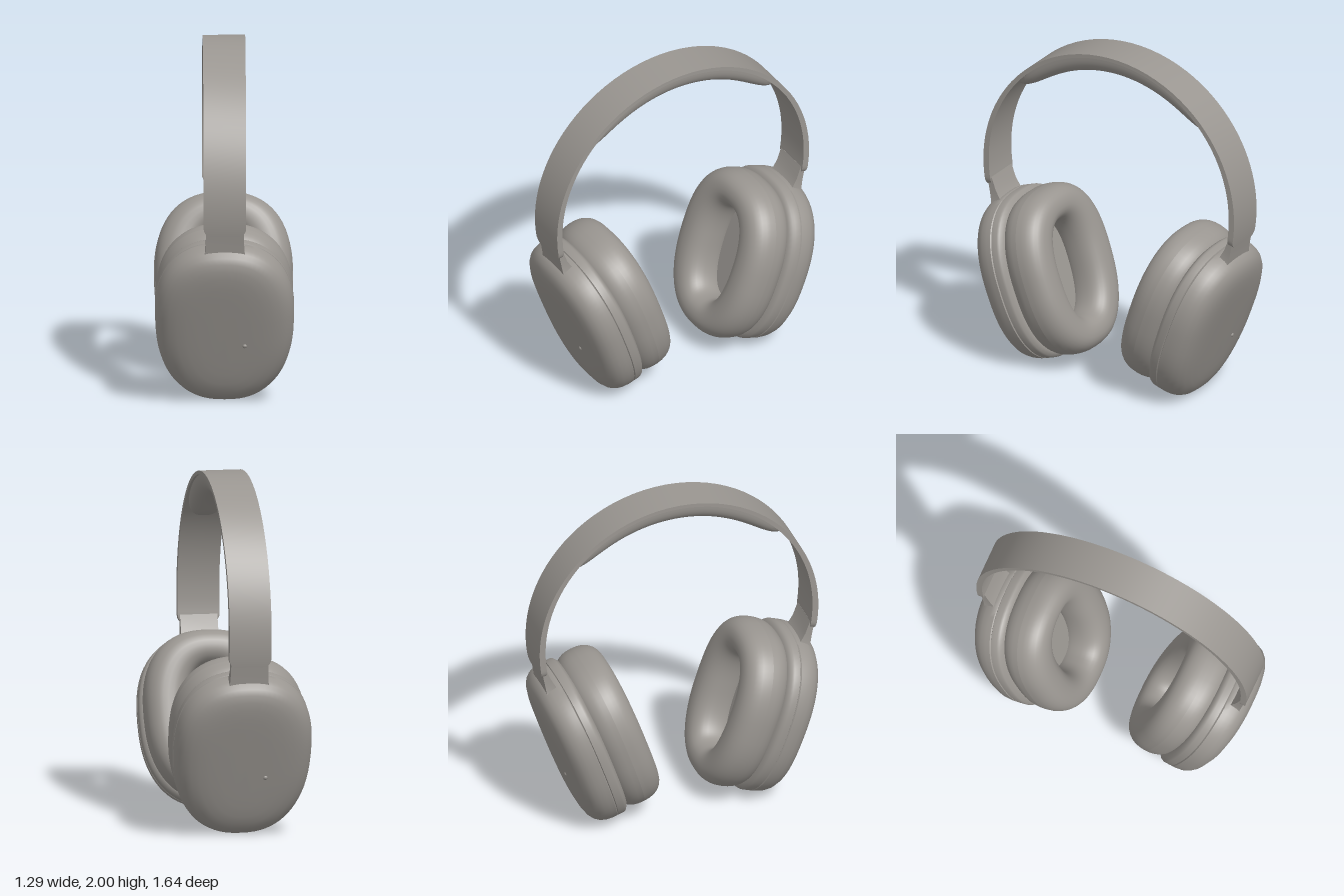
import * as THREE from 'three';
import { toCreasedNormals } from 'three/addons/utils/BufferGeometryUtils.js';

const grey = new THREE.MeshStandardMaterial({ color: 0x9a9691 });
grey.name = 'warmGrey';

// Skin over closed rings of points, all with the same count
function loft(rings, crease) {
  const m = rings[0].length, pos = [], idx = [];
  rings.forEach(r => r.forEach(p => pos.push(p.x, p.y, p.z)));
  for (let i = 0; i < rings.length - 1; i++) {
    for (let j = 0; j < m; j++) {
      const k = (j + 1) % m;
      const a = i * m + j, b = i * m + k, c = a + m, d = b + m;
      // A ring collapsed to a point needs only one triangle per side
      if (!rings[i][j].equals(rings[i][k])) idx.push(a, b, c);
      if (!rings[i + 1][j].equals(rings[i + 1][k])) idx.push(b, d, c);
    }
  }
  const g = new THREE.BufferGeometry();
  g.setAttribute('position', new THREE.Float32BufferAttribute(pos, 3));
  g.setIndex(idx);
  g.computeVertexNormals();
  return crease ? toCreasedNormals(g, crease) : g;
}

function part(name, geometry) {
  const mesh = new THREE.Mesh(geometry, grey);
  mesh.name = name;
  return mesh;
}

const collapse = ring => {
  const c = new THREE.Vector3();
  ring.forEach(p => c.add(p));
  c.divideScalar(ring.length);
  return ring.map(() => c.clone());
};
const capped = rings => [collapse(rings[0]), ...rings, collapse(rings[rings.length - 1])];
const power = (v, e) => Math.sign(v) * Math.abs(v) ** e;

// Rounded-square ear cup outline, shrunk by an inset, at depth z
const CUP_W = 0.395, CUP_H = 0.495;
function outline(inset, z, n = 72) {
  const w = CUP_W - inset, h = CUP_H - inset * 0.85;
  return Array.from({ length: n }, (_, i) => {
    const t = i / n * Math.PI * 2;
    const y = power(Math.sin(t), 0.83);
    return new THREE.Vector3(w * power(Math.cos(t), 0.83) * (1 + 0.04 * y), h * y, z);
  });
}

// Rectangular section across the band, in the plane of the arch
function section(x, y, nx, ny, outer, inner, hw) {
  return [[outer, hw], [outer, -hw], [inner, -hw], [inner, hw]]
    .map(([r, z]) => new THREE.Vector3(x + nx * r, y + ny * r, z));
}

const ARCH_Y = 1.17, ARCH_RX = 0.84, ARCH_RY = 0.83;

function headband() {
  const rings = [], N = 72, start = -0.205;
  for (let i = 0; i <= N; i++) {
    const a = Math.PI / 2 - (Math.PI / 2 - start) * Math.cos(Math.PI * i / N);
    const d = Math.min(a - start, Math.PI - start - a) * 0.83;
    const k = THREE.MathUtils.clamp(1 - d / 0.05, 0, 1);
    const hw = 0.121 - 0.04 * (1 - Math.sqrt(1 - k * k));
    const thick = 0.022 + 0.014 * (1 - Math.max(0, Math.sin(a))) - 0.01 * k * k;
    const c = Math.cos(a), s = Math.sin(a);
    rings.push(section(ARCH_RX * c, ARCH_Y + ARCH_RY * s, c, s, 0, -thick, hw));
  }
  return part('headband', loft(capped(rings), 0.6));
}

// Padded cushion under the top of the arch
function headCushion() {
  const rings = [], N = 56, M = 20;
  for (let i = 0; i <= N; i++) {
    const s = -Math.cos(Math.PI * i / N);
    const a = Math.PI / 2 + s * 0.92;
    const taper = Math.sqrt(Math.max(0, 1 - Math.abs(s) ** 9));
    const h = 0.004 + 0.112 * taper * (1 - 0.35 * s * s), hw = 0.108 * (0.25 + 0.75 * taper);
    rings.push(Array.from({ length: M + 1 }, (_, j) => {
      const t = Math.PI * j / M;
      const r = 0.813 - h * Math.max(0, Math.sin(t)) ** 0.8;
      return new THREE.Vector3(Math.cos(a) * r, ARCH_Y + Math.sin(a) * r, -hw * power(Math.cos(t), 0.85));
    }));
  }
  return part('headCushion', loft(capped(rings), 0.9));
}

// Short flared arm from the band end down to the cup: x, y, half thickness, half width
function arm() {
  const rows = [
    [0.715, 0.80, 0.060, 0.155], [0.732, 0.85, 0.054, 0.138], [0.747, 0.88, 0.043, 0.121],
    [0.766, 0.92, 0.031, 0.111], [0.785, 0.97, 0.021, 0.108], [0.808, 1.05, 0.014, 0.108],
  ];
  const rings = rows.map(([x, y, t, hw]) => section(x, y, 0.94, -0.33, t, -t, hw));
  return part('arm', loft(capped(rings), 0.6));
}

// Ear cup: x across, y up, z outward from the head
function earCup() {
  const cup = new THREE.Group();
  cup.name = 'earCup';

  // Soft ear pad, a fat ring
  const pad = [];
  for (let i = 0; i <= 32; i++) {
    const t = i / 32 * Math.PI * 2;
    pad.push(outline(0.127 - 0.122 * power(Math.cos(t), 0.88), -0.097 + 0.137 * power(Math.sin(t), 0.88)));
  }
  cup.add(part('earPad', loft(pad)));

  // Speaker cover inside the pad
  const cover = new THREE.ShapeGeometry(new THREE.Shape(outline(0.16, 0).map(p => new THREE.Vector2(p.x, p.y))));
  const coverMesh = part('speakerCover', cover);
  coverMesh.rotation.y = Math.PI;
  coverMesh.position.z = -0.04;
  cup.add(coverMesh);

  // Middle ring between pad and shell
  const ring = [[0.12, 0.005], [0.03, 0.005], [0.006, 0.022], [0.0, 0.035], [0.0, 0.072], [0.008, 0.077]];
  cup.add(part('middleRing', loft(ring.map(([i, z]) => outline(i, z)), 0.7)));

  // Domed outer shell
  const shell = [[0.008, 0.075], [0.0, 0.081], [0.001, 0.11], [0.007, 0.145], [0.02, 0.175], [0.043, 0.202],
    [0.078, 0.222], [0.125, 0.235], [0.18, 0.242], [0.25, 0.245], [0.33, 0.246]].map(([i, z]) => outline(i, z));
  shell.push(collapse(shell[shell.length - 1]));
  cup.add(part('outerShell', loft(shell, 0.9)));

  // Tiny pin on the shell
  const pin = part('pin', new THREE.SphereGeometry(0.014, 12, 8));
  pin.position.set(0.114, -0.09, 0.24);
  cup.add(pin);

  cup.rotation.order = 'ZYX';
  cup.rotation.set(0, Math.PI / 2, -0.335);
  cup.position.set(0.478, 0.506, 0);
  return cup;
}

export function createModel() {
  const model = new THREE.Group();
  model.name = 'headphones';
  const body = new THREE.Group();
  body.name = 'body';
  body.add(headband(), headCushion());

  // Both ear sides, half a turn apart
  ['leftSide', 'rightSide'].forEach((name, i) => {
    const side = new THREE.Group();
    side.name = name;
    side.add(arm(), earCup());
    side.rotation.y = i * Math.PI;
    body.add(side);
  });

  body.rotation.y = -1.103;
  model.add(body);
  return model;
}
